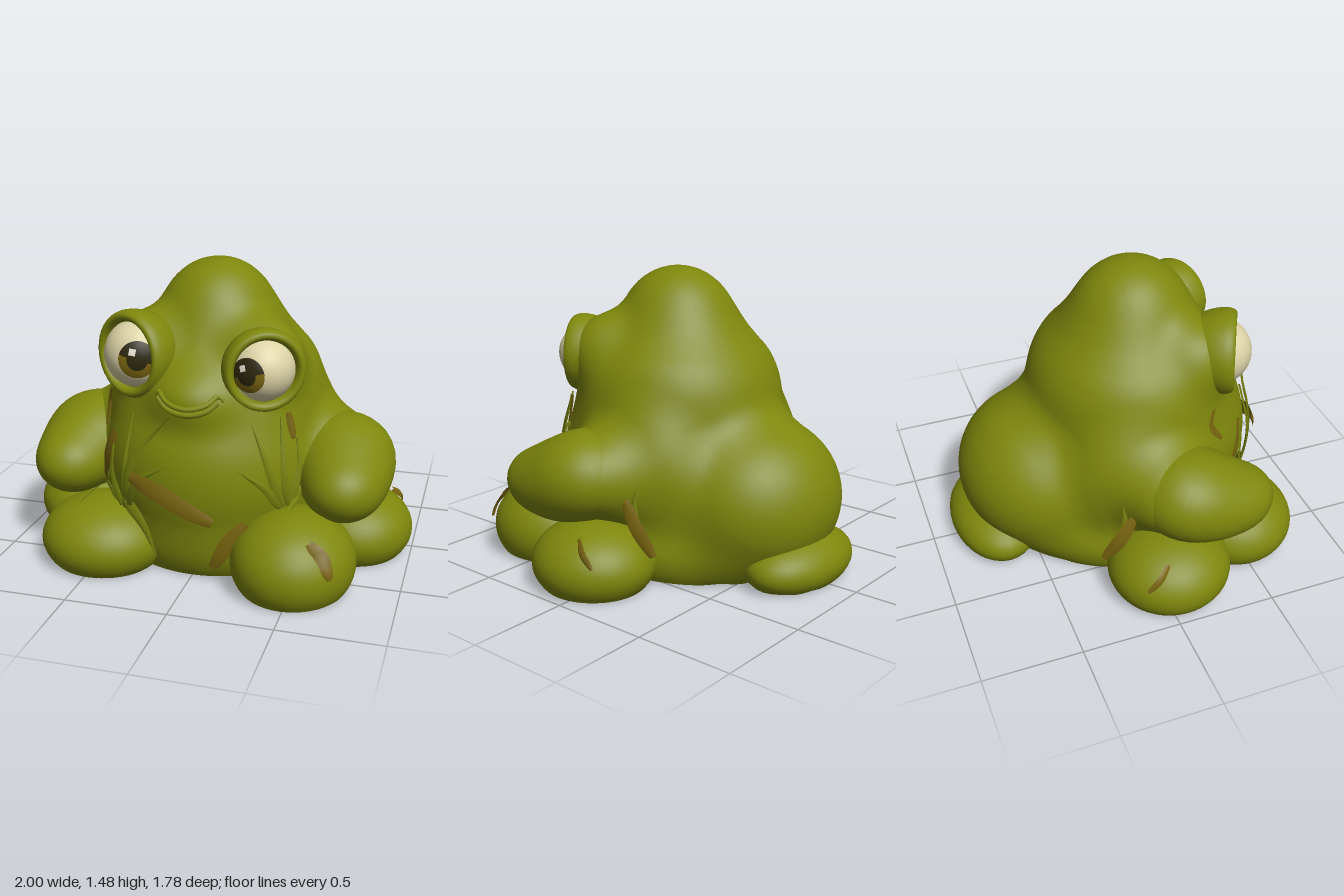
import * as THREE from 'three';
import { mergeVertices, toCreasedNormals } from 'three/addons/utils/BufferGeometryUtils.js';

const V = (x, y, z) => new THREE.Vector3(x, y, z);
const mat = (name, color, side = THREE.FrontSide) => {
  const m = new THREE.MeshStandardMaterial({ color, side });
  m.name = name;
  return m;
};

// Lobes are [x, y, z, rx, ry, rz]; paired lobes are mirrored across x
const mirror = (lobes) => lobes.map(([x, ...rest]) => [-x, ...rest]);
const both = (lobes) => [...lobes, ...mirror(lobes)];
const BODY = [
  [0, 1.13, 0.11, 0.31, 0.35, 0.32],
  [0, 0.87, 0.09, 0.52, 0.38, 0.5],
  [0, 0.5, 0.12, 0.57, 0.6, 0.6],
  [0, 0.13, 0.02, 0.6, 0.35, 0.62],
  [0, 0.36, -0.39, 0.46, 0.41, 0.43],
  [0, 0.89, 0.46, 0.19, 0.13, 0.22],
  // Shoulders, upper arms and brows
  ...both([
    [0.38, 0.52, -0.02, 0.25, 0.33, 0.3],
    [0.6, 0.52, 0.1, 0.25, 0.21, 0.23],
    [0.29, 1.06, 0.34, 0.18, 0.175, 0.16],
  ]),
];
const ARM = [
  [0.64, 0.525, 0.15, 0.265, 0.22, 0.25],
  [0.69, 0.46, 0.34, 0.205, 0.18, 0.26],
];
const SIDE_FOOT = [[0.7, 0.12, 0.06, 0.3, 0.21, 0.31]];
const RIGHT_FOOT = [[-0.48, 0.12, 0.51, 0.32, 0.21, 0.31]];
const LEFT_FOOT = [[0.49, 0.13, 0.56, 0.3, 0.25, 0.325]];
const BACK_FOOT = [[0, 0.09, -0.665, 0.35, 0.155, 0.225]];

// Distance to the smooth union of the lobes, cut flat at the ground
const union = (lobes, k) => (p) => {
  let d = 9;
  for (const [cx, cy, cz, rx, ry, rz] of lobes) {
    const x = p.x - cx, y = p.y - cy, z = p.z - cz;
    const k0 = Math.hypot(x / rx, y / ry, z / rz);
    const k1 = Math.hypot(x / (rx * rx), y / (ry * ry), z / (rz * rz));
    const e = k1 < 1e-6 ? -Math.min(rx, ry, rz) : (k0 * (k0 - 1)) / k1;
    const h = Math.max(k - Math.abs(d - e), 0) / k;
    d = Math.min(d, e) - h * h * k * 0.25;
  }
  return Math.max(d, -p.y);
};

// Walk from a point until the surface is met
function walk(start, dir, reach, dist) {
  const p = start.clone();
  for (let t = 0, i = 0; i < 150 && t < reach; i++) {
    const d = dist(p);
    if (d < 0.001) break;
    const step = Math.max(d * 0.7, 0.001);
    t += step;
    p.addScaledVector(dir, step);
  }
  return p;
}

// Sphere shrink-wrapped onto a surface
function blob(origin, dist, segs, rows) {
  let geo = new THREE.SphereGeometry(1, segs, rows);
  geo.deleteAttribute('uv');
  geo.deleteAttribute('normal');
  geo = mergeVertices(geo);
  const pos = geo.attributes.position;
  for (let i = 0; i < pos.count; i++) {
    const dir = V(0, 0, 0).fromBufferAttribute(pos, i).normalize();
    const start = origin.clone().addScaledVector(dir, 1.4);
    const p = walk(start, dir.clone().negate(), 1.39, dist);
    pos.setXYZ(i, p.x, Math.max(p.y, 0), p.z);
  }
  return toCreasedNormals(geo, 0.75);
}

// Point on the front of the body or the front feet
const bodyDist = union(BODY, 0.13);
const feetDist = union([...LEFT_FOOT, ...RIGHT_FOOT], 0.01);
const frontDist = (p) => Math.min(bodyDist(p), feetDist(p));
const skin = (u, v, lift) => walk(V(u, v, 1.2), V(0, 0, -1), 1, frontDist).add(V(0, 0, lift));

// Path of [u, v] pairs laid on the front skin
function onSkin(pts, lift) {
  const flat = new THREE.CatmullRomCurve3(pts.map(([u, v]) => V(u, v, 0)));
  return flat.getPoints(5).map((p) => skin(p.x, p.y, lift));
}

// Ribbon leaf along 3D points, its face turned outward; taper(t) scales the width
function leaf(points, width, taper) {
  const curve = new THREE.CatmullRomCurve3(points);
  const n = 14, verts = [], index = [];
  for (let i = 0; i <= n; i++) {
    const t = i / n, c = curve.getPoint(t);
    const out = V(c.x * 0.8, 0.1, c.z).normalize();
    const across = curve.getTangent(t).cross(out).normalize();
    for (const s of [-1, 0, 1]) {
      const p = c.clone().addScaledVector(across, 0.5 * s * width * taper(t));
      if (!s) p.addScaledVector(out, 0.01);
      verts.push(p.x, p.y, p.z);
    }
    if (i < n) for (const j of [0, 1]) {
      const a = i * 3 + j;
      index.push(a, a + 1, a + 3, a + 1, a + 4, a + 3);
    }
  }
  const geo = new THREE.BufferGeometry();
  geo.setAttribute('position', new THREE.Float32BufferAttribute(verts, 3));
  geo.setIndex(index);
  geo.computeVertexNormals();
  return geo;
}
const blunt = (t) => Math.sin(Math.PI * (0.1 + 0.82 * t)) ** 0.5;
const pointed = (t) => Math.min(1, 0.6 + 2 * t) * (1 - t ** 1.6);

export function createModel() {
  const model = new THREE.Group();
  const green = mat('mossGreen', 0x7e870c);
  const reed = mat('reedGreen', 0x77820e, THREE.DoubleSide);
  const brown = mat('leafBrown', 0x78640f, THREE.DoubleSide);
  const white = mat('eyeCream', 0xdcd3a6);
  const dark = mat('pupilDark', 0x2c270d);
  const gold = mat('irisGold', 0x7c6610);
  const shine = mat('eyeShine', 0xf4f0e0);
  const add = (name, geo, material, parent = model) => {
    const m = new THREE.Mesh(geo, material);
    m.name = name;
    parent.add(m);
    return m;
  };

  // Body, arms and five stubby feet
  add('body', blob(V(0, 0.55, 0.05), bodyDist, 128, 96), green);
  const limb = (name, lobes) => {
    const [x, y, z] = lobes[lobes.length >> 1];
    add(name, blob(V(x, y, z), union(lobes, 0.12), 48, 36), green);
  };
  limb('leftArm', ARM);
  limb('rightArm', mirror(ARM));
  limb('leftSideFoot', SIDE_FOOT);
  limb('rightSideFoot', mirror(SIDE_FOOT));
  limb('leftFrontFoot', LEFT_FOOT);
  limb('rightFrontFoot', RIGHT_FOOT);
  limb('backFoot', BACK_FOOT);

  // Eyes: socket cup, ball, iris and shine
  const up = V(0, 1, 0);
  const socket = new THREE.LatheGeometry(new THREE.SplineCurve(
    [[0, -0.2], [0.13, -0.17], [0.195, -0.06], [0.214, 0.03], [0.202, 0.08], [0.175, 0.085], [0.155, 0.05], [0.15, 0]]
      .map(([r, y]) => new THREE.Vector2(r, y))).getPoints(28).map((p) => p.setX(Math.max(p.x, 0))), 40);
  const eye = (name, at, facing, gaze, scale) => {
    const g = new THREE.Group();
    g.name = name;
    g.position.copy(at);
    g.scale.setScalar(scale);
    model.add(g);
    const aim = (part, geo, material, dir) =>
      add(part, geo, material, g).quaternion.setFromUnitVectors(up, dir.clone().normalize());
    const cap = (r, from, to, segs = 32, phi = Math.PI * 2, start = 0) =>
      new THREE.SphereGeometry(r, segs, 8, start, phi, from, to - from);
    aim('socket', socket, green, facing);
    add('eyeball', new THREE.SphereGeometry(0.167, 32, 24), white, g);
    aim('pupil', cap(0.17, 0, 0.55), dark, gaze);
    aim('iris', cap(0.172, 0.29, 0.54, 24, Math.PI), gold, gaze);
    aim('shine', cap(0.175, 0, 0.13, 4, Math.PI * 2, Math.PI / 4), shine, gaze.clone().add(V(-0.14, 0.24, 0)));
  };
  eye('rightEye', V(-0.3, 1.065, 0.455), V(-0.45, 0.03, 0.87), V(0.3, 0.04, 1), 1);
  eye('leftEye', V(0.305, 1.035, 0.455), V(0.45, 0, 0.87), V(-0.25, 0, 1), 0.93);

  // Smiling mouth: two lip ridges with a dimple at each corner
  const stroke = (name, pts, r) => add(name, new THREE.TubeGeometry(
    new THREE.CatmullRomCurve3(pts.map(([u, v]) => skin(u, v, 0))), 24, r, 8), green);
  const smile = [[-0.145, 0.925], [-0.09, 0.885], [0, 0.867], [0.09, 0.885], [0.14, 0.925]];
  stroke('upperLip', smile.map(([u, v]) => [u, v + 0.014]), 0.013);
  stroke('lowerLip', smile.map(([u, v]) => [u, v - 0.014]), 0.015);
  for (const s of [-1, 1])
    stroke('dimple', [[s * 0.168, 0.912], [s * 0.152, 0.93], [s * 0.125, 0.938]], 0.009);

  // Brown fallen leaves
  const brownLeaves = [
    [[[-0.48, 0.85], [-0.5, 0.76], [-0.49, 0.67]], 0.045, 0.03],
    [[[-0.4, 0.69], [-0.45, 0.56], [-0.51, 0.39]], 0.07, 0.035],
    [[[-0.27, 0.53], [-0.08, 0.47], [0.14, 0.35]], 0.09, 0.055],
    [[[0.28, 0.32], [0.2, 0.22], [0.12, 0.08]], 0.08, 0.025],
    [[[0.6, 0.32], [0.67, 0.26], [0.71, 0.17]], 0.065, 0.02],
    [[[0.43, 0.83], [0.445, 0.77], [0.46, 0.7]], 0.04, 0.03],
  ];
  for (const [pts, w, lift] of brownLeaves) add('brownLeaf', leaf(onSkin(pts, lift), w, blunt), brown);
  for (const s of [-1, 1]) {
    const side = (...pts) => pts.map(([x, y, z]) => V(s * x, y, z));
    add('sideLeaf', leaf(side([0.67, 0.45, -0.12], [0.67, 0.33, -0.19], [0.63, 0.19, -0.26]), 0.07, blunt), brown);
    add('footLeaf', leaf(side([0.88, 0.3, -0.02], [0.92, 0.25, -0.08], [0.92, 0.19, -0.14]), 0.04, blunt), brown);
    add('sideReed', leaf(side([0.64, 0.28, -0.18], [0.65, 0.42, -0.16], [0.64, 0.53, -0.17]), 0.045, pointed), reed);
  }

  // Reed tufts rising behind the front feet
  const reeds = [
    [[[-0.34, 0.32], [-0.27, 0.6], [-0.07, 0.84]], 0.06],
    [[[-0.33, 0.32], [-0.32, 0.58], [-0.28, 0.81]], 0.045],
    [[[-0.32, 0.32], [-0.24, 0.5], [-0.08, 0.61]], 0.05],
    [[[-0.36, 0.32], [-0.42, 0.48], [-0.4, 0.63]], 0.05],
    [[[-0.38, 0.34], [-0.47, 0.36], [-0.57, 0.32]], 0.04],
    [[[-0.34, 0.38], [-0.23, 0.27], [-0.16, 0.1]], 0.07],
    [[[0.42, 0.38], [0.36, 0.5], [0.24, 0.61]], 0.05],
    [[[0.43, 0.38], [0.37, 0.6], [0.29, 0.8]], 0.05],
    [[[0.45, 0.38], [0.43, 0.6], [0.4, 0.82]], 0.045],
    [[[0.46, 0.38], [0.49, 0.55], [0.47, 0.7]], 0.045],
    [[[0.47, 0.38], [0.5, 0.45], [0.53, 0.52]], 0.04],
  ];
  for (const [pts, w] of reeds) add('reed', leaf(onSkin(pts, 0.03), w, pointed), reed);

  return model;
}
